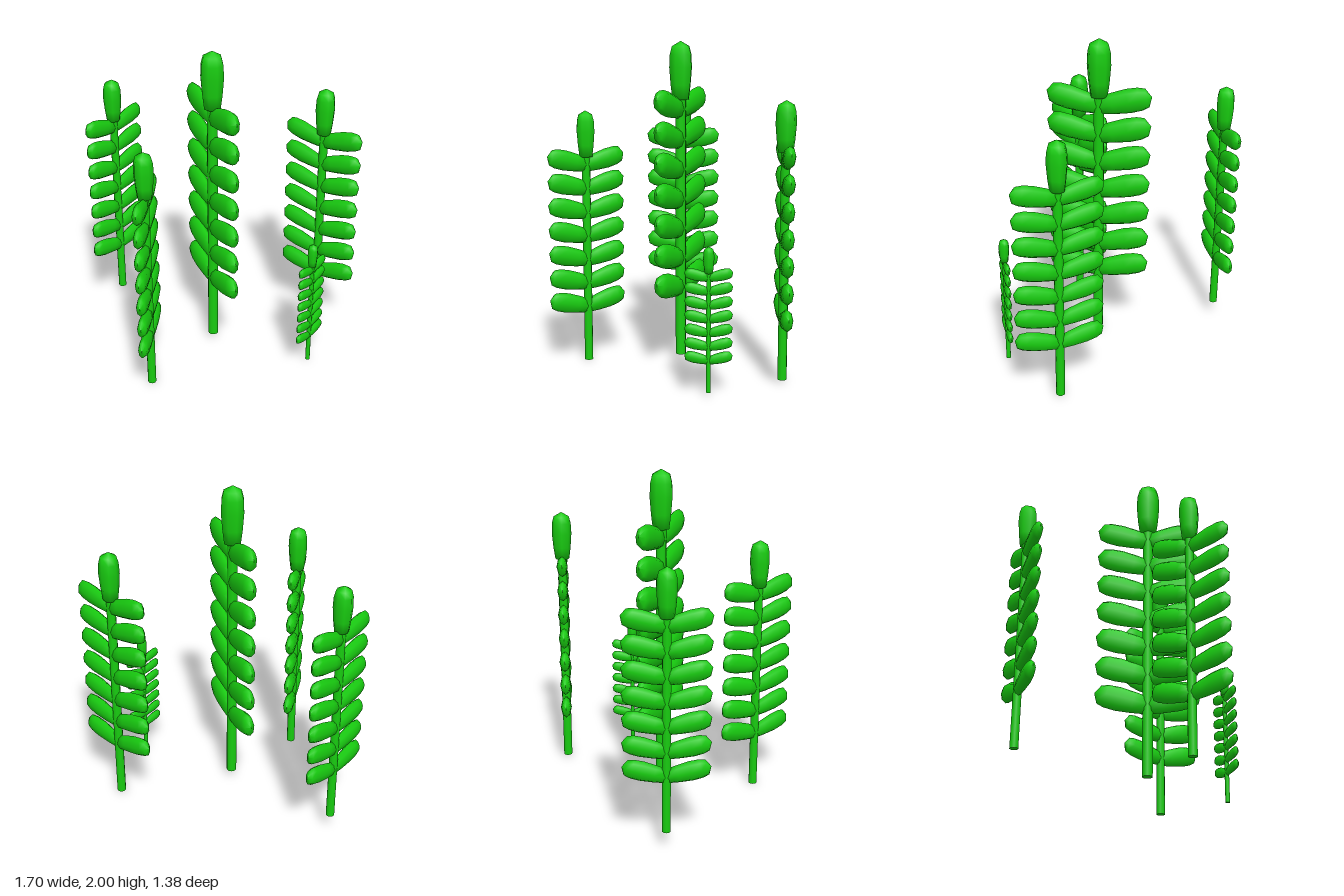
import * as THREE from 'three';

const green = new THREE.MeshStandardMaterial({ color: 0x18cc10 });

// Blunt spindle, length 1 along +y and maximum radius 1, shared by buds and leaflets
const spindle = new THREE.LatheGeometry(
  [[0, 0], [0.72, 0], [0.88, 0.25], [1, 0.55], [0.95, 0.77], [0.77, 0.91], [0, 1]]
    .map(([r, y]) => new THREE.Vector2(r, y)), 8);

const STEM_HEIGHT = 0.84;
const stemGeometry = new THREE.CylinderGeometry(0.0165, 0.0165, STEM_HEIGHT, 10);
stemGeometry.translate(0, STEM_HEIGHT / 2, 0);

const PAIRS = 7, LOWEST = 0.222, SPACING = 0.0945, TILT = 0.24;

function addPart(parent, geometry, name) {
  const mesh = new THREE.Mesh(geometry, green);
  mesh.name = name;
  parent.add(mesh);
  return mesh;
}

// A fern of height 1 whose leaflets spread along x
function createFern() {
  const fern = new THREE.Group();
  fern.name = 'fern';
  addPart(fern, stemGeometry, 'stem');

  const bud = addPart(fern, spindle, 'topBud');
  bud.position.y = 0.82;
  bud.scale.set(0.037, 0.18, 0.037);

  for (let i = 0; i < PAIRS; i++) {
    for (const side of [1, -1]) {
      const leaf = addPart(fern, spindle, side > 0 ? 'leftLeaflet' : 'rightLeaflet');
      leaf.position.set(side * 0.003, LOWEST + i * SPACING, 0);
      leaf.scale.set(0.039, 0.163, 0.021);
      leaf.rotation.z = -side * (Math.PI / 2 - TILT);
    }
  }
  return fern;
}

export function createModel() {
  const model = new THREE.Group();
  model.name = 'fernCluster';
  // x, base y, z, height, yaw
  const plants = [
    [-0.705, 0.10, -0.50, 1.53, 0.905],
    [-0.44, 0.00, 0.435, 1.58, 1.45],
    [-0.065, 0.05, -0.015, 1.95, -1.10],
    [0.62, 0.02, -0.26, 1.65, -0.606],
    [0.54, 0.02, 0.23, 0.85, 0.912],
  ];
  for (const [x, y, z, height, yaw] of plants) {
    const fern = createFern();
    fern.position.set(x, y, z);
    fern.scale.setScalar(height);
    fern.rotation.y = yaw;
    model.add(fern);
  }
  return model;
}
